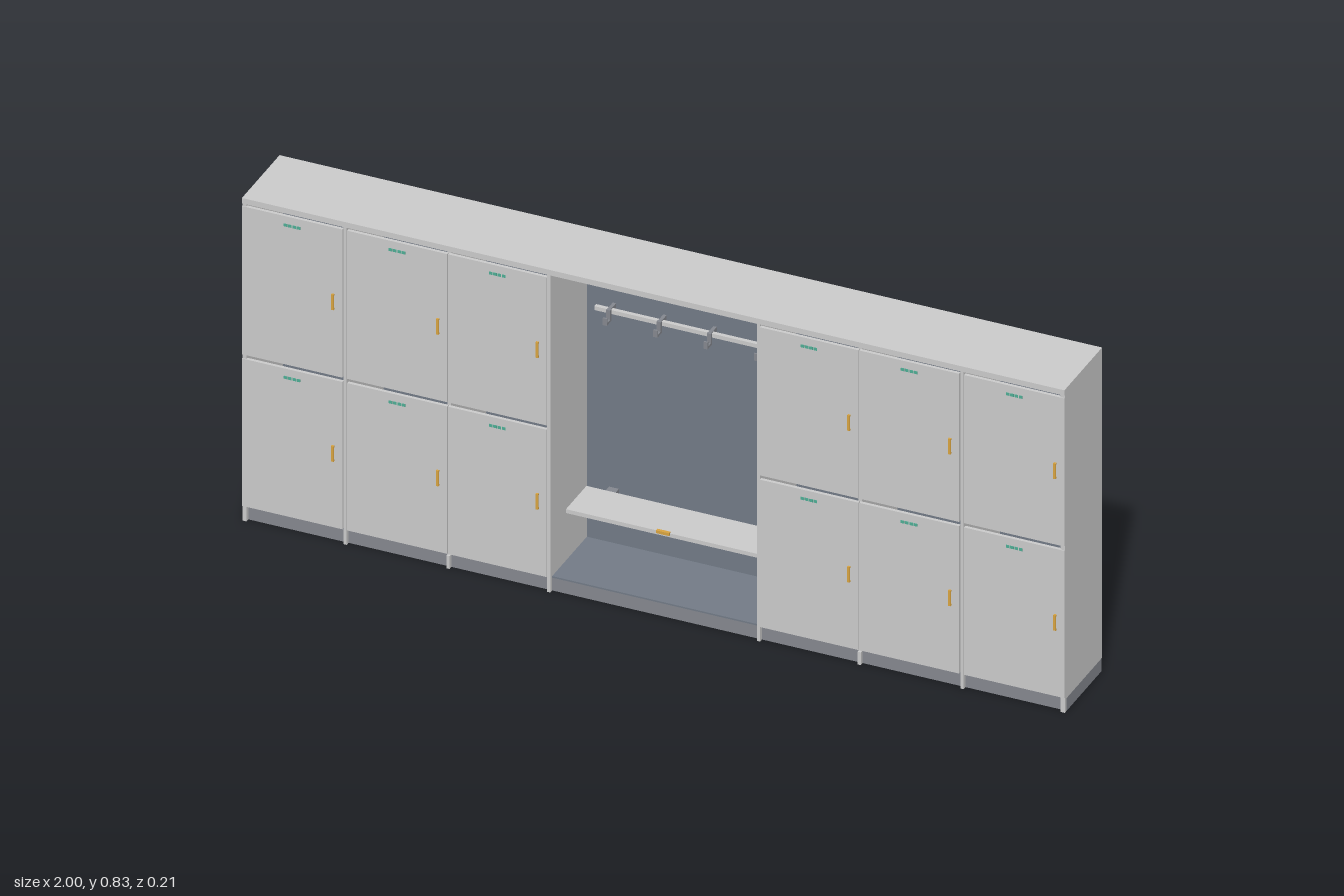
import * as THREE from 'three';

const paint = (color) => new THREE.MeshStandardMaterial({ color });
const grey = paint(0xcccccc);
const slate = paint(0x737b87);
const plinthGrey = paint(0x85888f);
const gold = paint(0xd9a441);
const teal = paint(0x4fae95);

// Box given by its limits on each axis
function block(parent, name, [x0, x1], [y0, y1], [z0, z1], material) {
  const mesh = new THREE.Mesh(new THREE.BoxGeometry(x1 - x0, y1 - y0, z1 - z0), material);
  mesh.position.set((x0 + x1) / 2, (y0 + y1) / 2, (z0 + z1) / 2);
  mesh.name = name;
  parent.add(mesh);
  return mesh;
}

// Door with a pull handle near its right edge and a small slotted vent at the top
function door(x0, x1, y0, y1) {
  const g = new THREE.Group();
  g.name = 'door';
  block(g, 'doorPanel', [x0, x1], [y0, y1], [0.092, 0.1], grey);
  const hx = x1 - 0.022, hy = y0 + 0.192;
  block(g, 'handleGrip', [hx - 0.003, hx + 0.003], [hy - 0.02, hy + 0.02], [0.102, 0.105], gold);
  for (const s of [-1, 1]) {
    block(g, 'handlePost', [hx - 0.003, hx + 0.003], [hy + s * 0.018 - 0.002, hy + s * 0.018 + 0.002], [0.1, 0.102], gold);
  }
  const cx = (x0 + x1) / 2;
  for (let i = 0; i < 4; i++) {
    const vx = cx + (i - 1.5) * 0.0105;
    block(g, 'ventSlot', [vx - 0.0042, vx + 0.0042], [y1 - 0.026, y1 - 0.019], [0.1, 0.1012], teal);
  }
  return g;
}

export function createModel() {
  const model = new THREE.Group();
  model.name = 'lockerWall';

  // Carcass: top, plinth and upright partitions
  block(model, 'topPanel', [-1, 1], [0.821, 0.835], [-0.102, 0.1], grey);
  block(model, 'plinth', [-1, 1], [0, 0.033], [-0.1, 0.088], plinthGrey);
  const uprights = [-0.995, -0.75, -0.5, -0.255, 0.255, 0.5, 0.75, 0.995];
  for (const x of uprights) {
    const t = Math.abs(x) > 0.9 ? 0.005 : 0.004;
    const front = Math.abs(x) === 0.5 ? 0.0915 : 0.098;
    block(model, 'upright', [x - t, x + t], [0.033, 0.821], [-0.1015, front], grey);
    block(model, 'uprightFoot', [x - t, x + t], [0, 0.033], [0.088, 0.098], grey);
  }

  // Back and floor of every compartment, middle shelf in the locker columns
  for (let i = 0; i < uprights.length - 1; i++) {
    const span = [uprights[i] + 0.004, uprights[i + 1] - 0.004];
    block(model, 'backPanel', span, [0, 0.818], [-0.102, -0.098], slate);
    block(model, 'floorPanel', span, [0.033, 0.037], [-0.098, 0.088], slate);
    if (i !== 3) block(model, 'shelf', span, [0.42, 0.432], [-0.098, 0.08], slate);
  }

  // Two rows of doors in six columns
  const columns = [
    [-1, -0.756], [-0.744, -0.501], [-0.499, -0.259],
    [0.259, 0.499], [0.501, 0.744], [0.756, 1],
  ];
  for (const [x0, x1] of columns) {
    model.add(door(x0, x1, 0.039, 0.42), door(x0, x1, 0.431, 0.814));
  }

  // Bench in the open bay
  const bench = new THREE.Group();
  bench.name = 'bench';
  block(bench, 'benchSeat', [-0.237, 0.237], [0.18, 0.19], [-0.065, 0.045], grey);
  block(bench, 'benchPull', [-0.016, 0.016], [0.186, 0.193], [0.042, 0.05], gold);
  for (const x of [-0.185, 0.185]) {
    block(bench, 'benchBracket', [x - 0.012, x + 0.012], [0.17, 0.18], [-0.098, 0.02], plinthGrey);
  }
  model.add(bench);

  // Coat rail with four hooks
  const rack = new THREE.Group();
  rack.name = 'coatRack';
  block(rack, 'rail', [-0.22, 0.22], [0.646, 0.656], [-0.08, -0.07], grey);
  for (const x of [-0.184, -0.061, 0.061, 0.184]) {
    block(rack, 'hookArm', [x - 0.004, x + 0.004], [0.646, 0.658], [-0.098, -0.066], plinthGrey);
    block(rack, 'hookDrop', [x - 0.005, x + 0.005], [0.628, 0.658], [-0.07, -0.064], plinthGrey);
    block(rack, 'hookTip', [x - 0.005, x + 0.005], [0.628, 0.634], [-0.064, -0.046], plinthGrey);
    block(rack, 'hookEnd', [x - 0.005, x + 0.005], [0.628, 0.646], [-0.05, -0.046], plinthGrey);
  }
  model.add(rack);

  return model;
}
